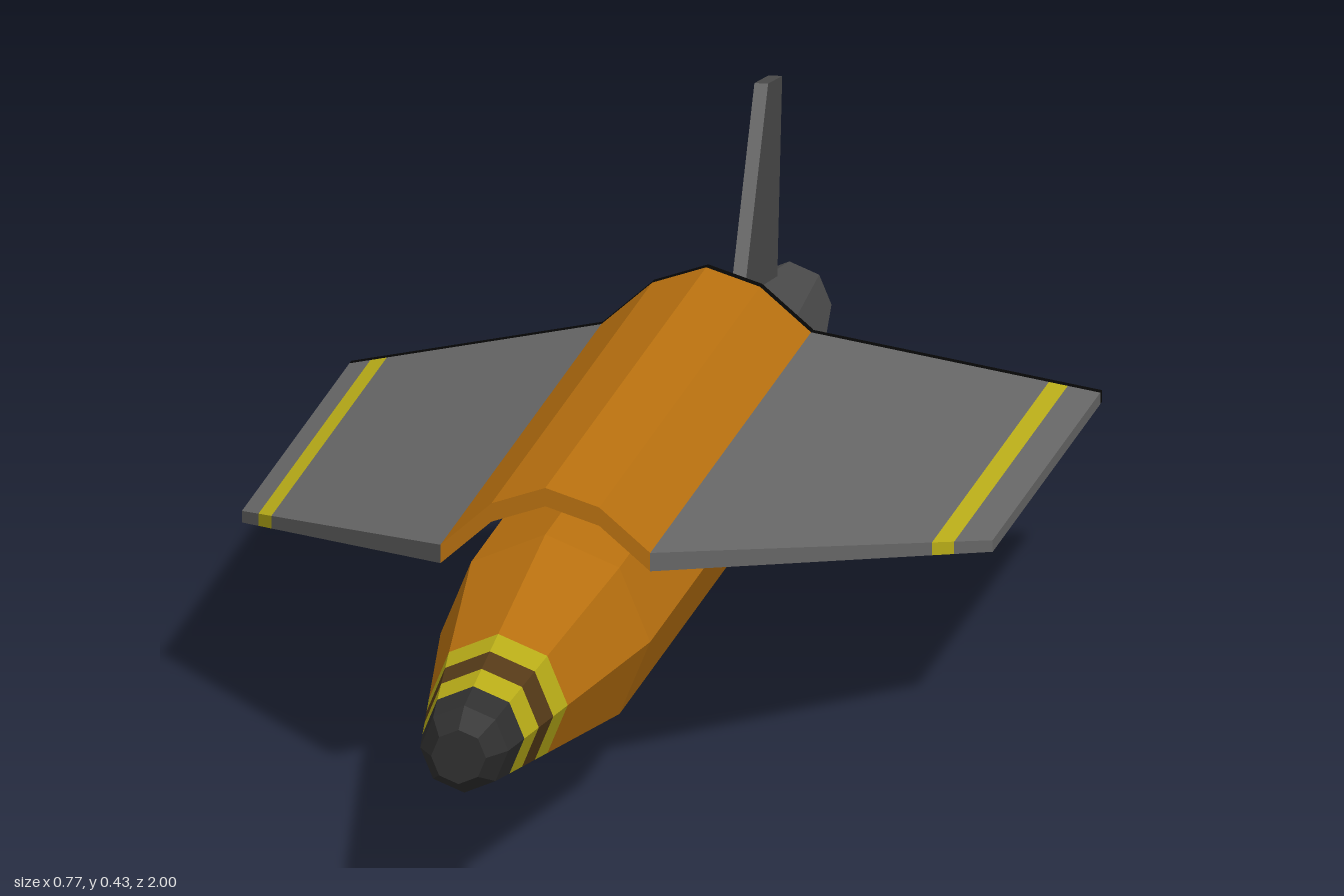
import * as THREE from 'three';

const AXIS_Y = 0.163; // height of the body axis
const ORANGE = 0xb8700f, YELLOW = 0xb8ac18, BROWN = 0x553a18;
const GREY = 0x666666, DARK = 0x4a4a4a, NOSE = 0x303030, BLACK = 0x060606;

const materials = {};
function paint(color) {
  return (materials[color] ??= new THREE.MeshStandardMaterial({ color, flatShading: true }));
}

function part(group, name, geometry, color) {
  const mesh = new THREE.Mesh(geometry, paint(color));
  mesh.name = name;
  group.add(mesh);
  return mesh;
}

function extrude(points, depth) {
  const shape = new THREE.Shape(points.map(([x, y]) => new THREE.Vector2(x, y)));
  return new THREE.ExtrudeGeometry(shape, { depth, bevelEnabled: false });
}

// Eight-sided body section; profile is [radius, z] from back to front
function bodySection(profile) {
  const geometry = new THREE.LatheGeometry(profile.map(([r, z]) => new THREE.Vector2(r, z)), 8);
  return geometry.rotateX(Math.PI / 2).translate(0, AXIS_Y, 0);
}

// Wing slab from a plan outline of [x, z]; it droops and thins towards the tip
function wingSlab(side, plan) {
  const geometry = extrude(plan.map(([x, z]) => [x * side, -z]), 1).rotateX(-Math.PI / 2);
  const pos = geometry.attributes.position;
  for (let i = 0; i < pos.count; i++) {
    const t = (Math.abs(pos.getX(i)) - 0.107) / 0.276;
    const low = THREE.MathUtils.lerp(0.236, 0.165, t);
    const high = THREE.MathUtils.lerp(0.255, 0.177, t);
    pos.setY(i, THREE.MathUtils.lerp(low, high, pos.getY(i)));
  }
  geometry.computeVertexNormals();
  return geometry;
}

// Leading and trailing edges of the wing at a given x
const TIP_X = 0.383;
const across = (x) => (x - 0.107) / (TIP_X - 0.107);
const leading = (x) => 0.475 - 0.435 * across(x);
const trailing = (x) => -0.497 - 0.113 * across(x);

function wing(side, name, stripeStart) {
  const group = new THREE.Group();
  group.name = name;
  const strip = (x0, x1) => wingSlab(side, [
    [x0, leading(x0)], [x1, leading(x1)], [x1, trailing(x1)], [x0, trailing(x0)],
  ]);
  const stripeEnd = stripeStart + 0.018;
  part(group, 'wingPanel', strip(0.107, stripeStart), GREY);
  part(group, 'wingStripe', strip(stripeStart, stripeEnd), YELLOW);
  part(group, 'wingTip', strip(stripeEnd, TIP_X), GREY);
  part(group, 'trailingEdge', wingSlab(side, [
    [0.107, trailing(0.107)], [TIP_X, trailing(TIP_X)],
    [TIP_X, trailing(TIP_X) - 0.011], [0.107, trailing(0.107) - 0.011],
  ]), BLACK);
  return group;
}

// Tail fin lying along the radius at the given angle
function fin(span, angle) {
  const thickness = 0.014;
  return extrude([[0.03, -0.665], [0.087, -0.69], [span, -0.83], [span - 0.012, -0.915], [0.03, -0.882]], thickness)
    .translate(0, 0, -thickness / 2)
    .rotateX(Math.PI / 2)
    .rotateZ(angle)
    .translate(0, AXIS_Y, 0);
}

export function createModel() {
  const model = new THREE.Group();
  model.name = 'glideBomb';

  // Body, from the tail to the nose
  const R = 0.107;
  const noseRadius = (z) => R + ((0.052 - R) * (z - 0.475)) / (0.91 - 0.475);
  const band = (z0, z1) => bodySection([[noseRadius(z0), z0], [noseRadius(z1), z1]]);
  part(model, 'tailCone', bodySection([[0, -1], [0.043, -1], [R, -0.5], [R, -0.355]]), DARK);
  part(model, 'bodyBand', bodySection([[R, -0.355], [R, -0.335]]), BLACK);
  part(model, 'body', bodySection([[R, -0.335], [R, 0.475], [noseRadius(0.76), 0.76]]), ORANGE);
  part(model, 'rearNoseBand', band(0.76, 0.81), YELLOW);
  part(model, 'middleNoseBand', band(0.81, 0.86), BROWN);
  part(model, 'frontNoseBand', band(0.86, 0.91), YELLOW);
  part(model, 'noseCap', bodySection([[0.052, 0.91], [0.045, 0.965], [0.028, 1], [0, 1]]), NOSE);

  // Arched saddle above the body that carries the wings
  const arch = [[-0.107, 0.255], [-0.055, 0.3], [0, 0.318], [0.055, 0.3], [0.107, 0.255]];
  const under = arch.map(([x, y]) => [x, y - 0.019]).reverse();
  const outline = [...arch, ...under];
  part(model, 'saddle', extrude(outline, 0.972).translate(0, 0, -0.497), ORANGE);
  part(model, 'saddleRearEdge', extrude(outline, 0.013).translate(0, 0, -0.51), BLACK);

  // Wings
  model.add(wing(1, 'leftWing', 0.334), wing(-1, 'rightWing', 0.342));

  // Three tail fins
  const droop = THREE.MathUtils.degToRad(33.6);
  part(model, 'upperFin', fin(0.267, Math.PI / 2), DARK);
  part(model, 'leftFin', fin(0.283, -droop), DARK);
  part(model, 'rightFin', fin(0.283, Math.PI + droop), DARK);

  return model;
}
